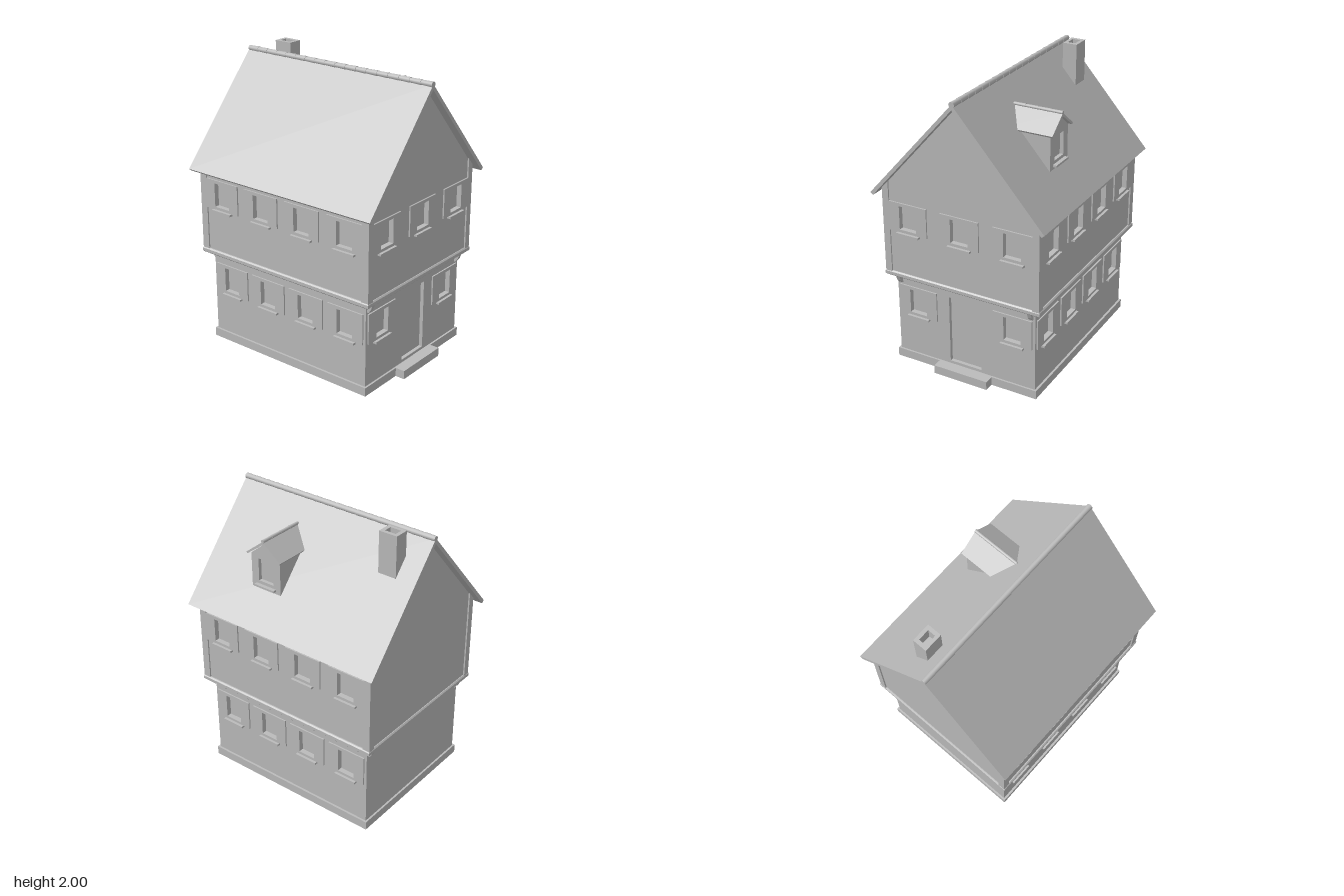
import * as THREE from 'three';

export function createModel() {
  const house = new THREE.Group();
  house.name = 'house';
  const grey = new THREE.MeshStandardMaterial({ color: 0xbbbbbb });
  grey.name = 'plain grey';

  const add = (name, geometry, parent = house, x = 0, y = 0, z = 0) => {
    const mesh = new THREE.Mesh(geometry, grey);
    mesh.name = name;
    mesh.position.set(x, y, z);
    parent.add(mesh);
    return mesh;
  };
  // Box given by its lower and upper limits
  const block = (name, x0, x1, y0, y1, z0, z1, parent = house) =>
    add(name, new THREE.BoxGeometry(x1 - x0, y1 - y0, z1 - z0), parent,
      (x0 + x1) / 2, (y0 + y1) / 2, (z0 + z1) / 2);
  const polygon = (pts) => new THREE.Shape(pts.map(([x, y]) => new THREE.Vector2(x, y)));
  const rect = (x0, x1, y0, y1) => [[x0, y0], [x1, y0], [x1, y1], [x0, y1]];
  // Extrusion along z from z0 to z1, with optional holes
  const slab = (pts, z0, z1, holes = []) => {
    const shape = polygon(pts);
    holes.forEach((h) => shape.holes.push(polygon(h)));
    return new THREE.ExtrudeGeometry(shape, { depth: z1 - z0, bevelEnabled: false }).translate(0, 0, z0);
  };

  // Wall whose outer face is local z = 0, with framed windows and recessed openings
  const RECESS = 0.025;
  function facade(name, outline, windows, doors = []) {
    const g = new THREE.Group();
    g.name = name;
    const opening = (w) => rect(w.x - w.w / 2, w.x + w.w / 2, w.y0, w.y1);
    add('wall', slab(outline, -RECESS, 0, [...windows.map(opening), ...doors]), g);
    for (const w of windows) {
      if (w.panel) {
        const p = w.panel / 2;
        add('windowFrame', slab(rect(w.x - p, w.x + p, w.y0 - 0.019, w.y1 + 0.022), 0, 0.01, [opening(w)]), g);
      }
      const s = w.w / 2 + 0.02;
      block('windowSill', w.x - s, w.x + s, w.y0 - 0.035, w.y0 - 0.021, 0, 0.026, g);
    }
    house.add(g);
    return g;
  }
  const place = (g, x, z, turn) => {
    g.position.set(x, 0, z);
    g.rotation.y = turn;
  };
  const lower = (x) => ({ x, y0: 0.375, y1: 0.545, w: 0.125, panel: 0.284 });
  const upper = (x) => ({ x, y0: 1.003, y1: 1.168, w: 0.125, panel: 0.28 });

  // Plinth and doorstep
  block('plinth', -0.53, 0.53, 0, 0.06, -0.66, 0.66);
  block('doorstep', -0.2, 0.2, 0, 0.06, 0.65, 0.727);

  // Ground floor
  const GX = 0.515, GZ = 0.647;
  block('groundFloorCore', -GX + RECESS, GX - RECESS, 0.02, 0.66, -GZ + RECESS, GZ - RECESS);
  const groundEnd = rect(-GX, GX, 0.03, 0.655);
  place(facade('groundFront', groundEnd, [-0.354, 0.352].map(lower), [rect(-0.12, 0.118, 0.08, 0.565)]), 0, GZ, 0);
  place(facade('groundBack', groundEnd, []), 0, -GZ, Math.PI);
  for (const s of [1, -1]) {
    const wall = facade('groundSide', rect(-GZ, GZ, 0.03, 0.655), [-0.487, -0.162, 0.162, 0.487].map(lower));
    place(wall, s * GX, 0, s * Math.PI / 2);
  }

  // Jettied upper floor with gables
  const UX = 0.557, UZ = 0.693, SLOPE = 1.12;
  const under = (x) => 1.918 - SLOPE * Math.abs(x);
  const gable = (x) => [[-x, 0.655], [x, 0.655], [x, under(x)], [0, under(0)], [-x, under(x)]];
  add('upperFloorCore', slab(gable(UX - RECESS), -UZ + RECESS, UZ - RECESS));
  place(facade('upperFront', gable(UX), [-0.38, 0, 0.38].map(upper)), 0, UZ, 0);
  place(facade('upperBack', gable(UX), []), 0, -UZ, Math.PI);
  for (const s of [1, -1]) {
    const wall = facade('upperSide', rect(-UZ, UZ, 0.655, under(UX)), [-0.513, -0.171, 0.171, 0.513].map(upper));
    place(wall, s * UX, 0, s * Math.PI / 2);
  }

  // Corner posts, cut to the roof slope
  for (const sx of [1, -1]) for (const sz of [1, -1]) {
    const a = Math.min(sx * 0.52, sx * 0.567), b = Math.max(sx * 0.52, sx * 0.567);
    const pts = [[a, 0.66], [b, 0.66], [b, under(b)], [a, under(a)]];
    add('cornerPost', slab(pts, sz > 0 ? 0.65 : -0.703, sz > 0 ? 0.703 : -0.65));
  }

  // Bevelled floor beam
  const beam = new THREE.ExtrudeGeometry(polygon(rect(-0.565, 0.565, -0.698, 0.698)),
    { depth: 0.021, bevelThickness: 0.008, bevelSize: 0.008, bevelSegments: 1 });
  add('floorBeam', beam.rotateX(-Math.PI / 2), house, 0, 0.653, 0);

  // Brackets under the overhang
  for (const sx of [1, -1]) for (const turn of [0, Math.PI]) {
    const g = new THREE.Group();
    g.name = 'bracket';
    const profile = [[0.64, 0.58], [0.66, 0.585], [0.675, 0.605], [0.692, 0.65], [0.64, 0.65]];
    add('bracketBlock', slab(profile, -0.0135, 0.0135).rotateY(-Math.PI / 2), g, sx * 0.489);
    g.rotation.y = turn;
    house.add(g);
  }

  // Main roof
  add('mainRoof', slab([[-0.623, 1.246], [-0.604, 1.23], [0, 1.915], [0.604, 1.23], [0.623, 1.246], [0, 1.95]], -0.75, 0.75));

  // Row of tapered ridge tiles along z
  function ridge(name, length, count, radius) {
    const g = new THREE.Group();
    g.name = name;
    const step = length / count;
    for (let i = 0; i < count; i++) {
      const tile = new THREE.CylinderGeometry(radius, radius * 0.88, step, 12).rotateX(Math.PI / 2);
      add('ridgeTile', tile, g, 0, 0, -length / 2 + (i + 0.5) * step);
    }
    house.add(g);
    return g;
  }
  ridge('mainRidge', 1.5, 18, 0.02).position.y = 1.947;

  // Hollow chimney
  const flue = slab(rect(0.105, 0.205, 0.48, 0.61), 1.65, 2, [rect(0.127, 0.181, 0.506, 0.584)]);
  add('chimney', flue.rotateX(-Math.PI / 2));
  block('chimneyFloor', 0.12, 0.19, 1.86, 1.9, -0.59, -0.5);

  // Dormer, with its front facing +x
  const DX = 0.44, DZ = 0.217, HW = 0.117;
  const dormerOutline = [[-HW, 1.455], [HW, 1.455], [HW, 1.69], [0, 1.785], [-HW, 1.69]];
  const dormerWindow = { x: 0, y0: 1.508, y1: 1.665, w: 0.12 };
  place(facade('dormerFront', dormerOutline, [dormerWindow]), DX, DZ, Math.PI / 2);
  add('dormerBody', slab(dormerOutline, 0.12, DX - RECESS).rotateY(Math.PI / 2), house, 0, 0, DZ);
  const dormerRoof = [[-0.138, 1.698], [-0.131, 1.687], [0, 1.785], [0.131, 1.687], [0.138, 1.698], [0, 1.807]];
  add('dormerRoof', slab(dormerRoof, 0.125, 0.463).rotateY(Math.PI / 2), house, 0, 0, DZ);
  place(ridge('dormerRidge', 0.34, 4, 0.012), 0.293, DZ, Math.PI / 2);
  house.children[house.children.length - 1].position.y = 1.808;

  return house;
}
